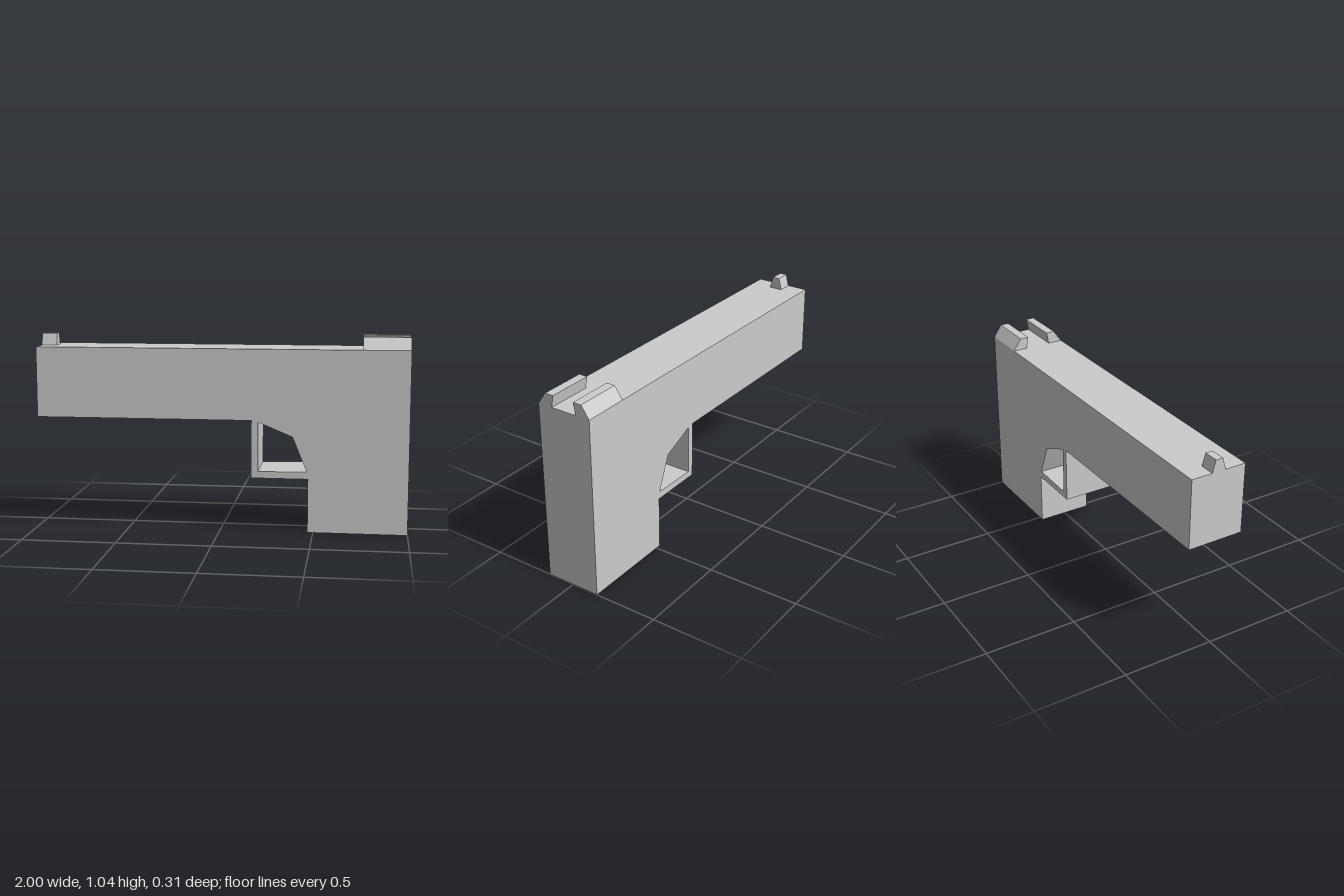
import * as THREE from 'three';

const material = new THREE.MeshStandardMaterial({ color: 0xcccccc, flatShading: true });
const toPoints = (pairs) => pairs.map(([a, b]) => new THREE.Vector2(a, b));

function extrude(shape, depth) {
  return new THREE.ExtrudeGeometry(shape, { depth, bevelEnabled: false });
}

// Profile given as [z, y] pairs, swept along x from x0 to x1
function sweepAlongX(name, profile, x0, x1) {
  const shape = new THREE.Shape(toPoints(profile.map(([z, y]) => [-z, y])));
  const mesh = new THREE.Mesh(extrude(shape, x1 - x0).rotateY(Math.PI / 2), material);
  mesh.position.x = x0;
  mesh.name = name;
  return mesh;
}

export function createModel() {
  const model = new THREE.Group();
  model.name = 'pistol';
  const halfWidth = 0.153, topY = 0.98, sightY = 1.045;

  // Barrel block, grip and trigger guard share one side outline
  const outline = new THREE.Shape(toPoints([
    [-1, topY], [-1, 0.6], [0.167, 0.6], [0.167, 0.29], [0.47, 0.29],
    [0.47, 0], [1, 0], [1, topY],
  ]));
  // Finger opening
  outline.holes.push(new THREE.Path(toPoints([
    [0.203, 0.325], [0.203, 0.592], [0.387, 0.515], [0.463, 0.33],
  ])));
  const body = new THREE.Mesh(extrude(outline, 2 * halfWidth), material);
  body.position.z = -halfWidth;
  body.name = 'body';
  model.add(body);

  // Tapered front sight at the muzzle
  model.add(sweepAlongX('frontSight',
    [[-0.038, topY], [0.038, topY], [0.02, sightY], [-0.02, sightY]], -1, -0.917));

  // Mirrored rear sight rails with sloped outer faces
  for (const side of [-1, 1]) {
    const profile = [[0.072, topY], [halfWidth, topY], [0.108, sightY], [0.06, sightY]];
    model.add(sweepAlongX(side > 0 ? 'rearSightFront' : 'rearSightBack',
      profile.map(([z, y]) => [side * z, y]), 0.75, 1));
  }
  return model;
}
